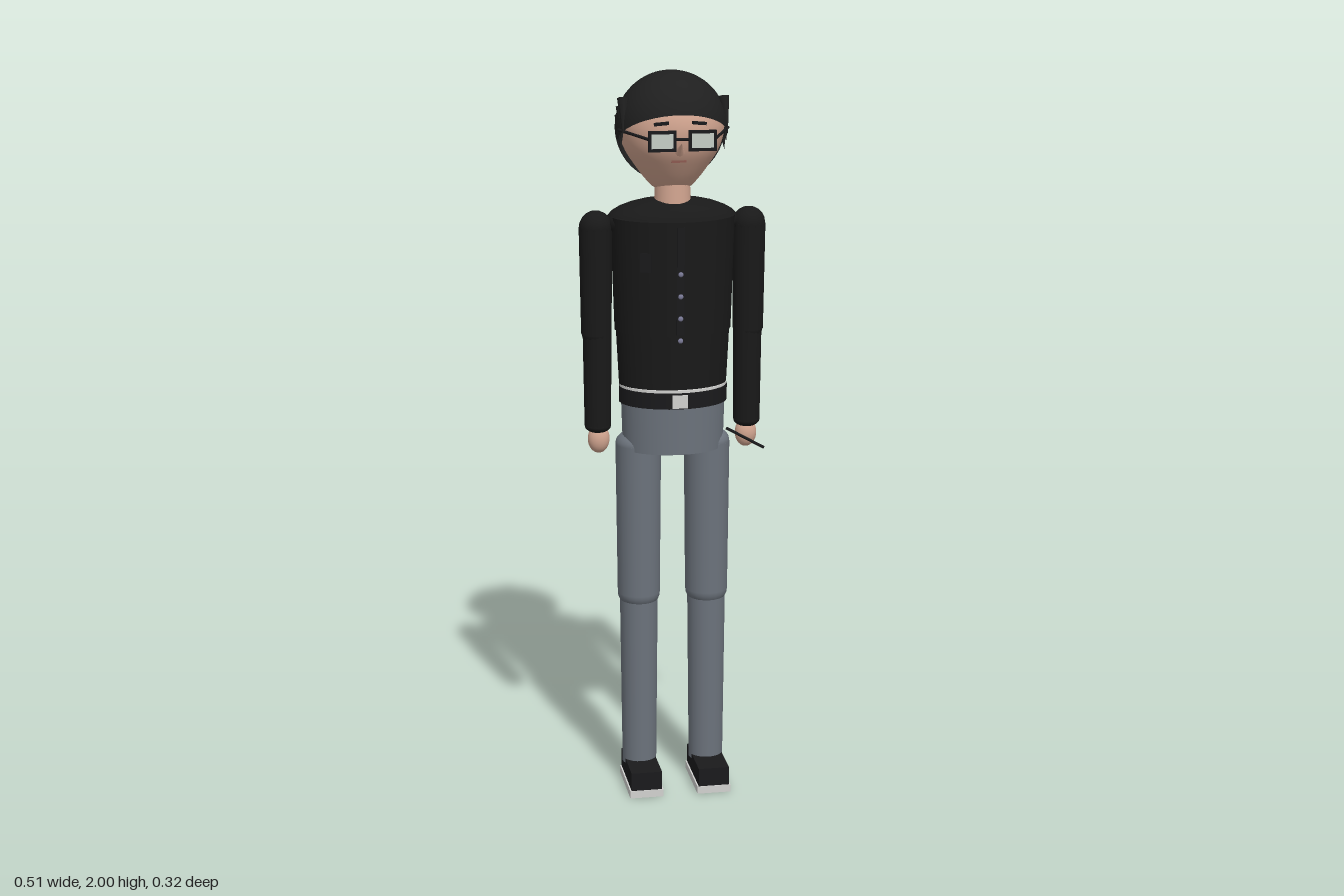
import * as THREE from 'three';

const mat = (name, color, side = THREE.FrontSide) => {
  const m = new THREE.MeshStandardMaterial({ color, side });
  m.name = name;
  return m;
};

export function createModel() {
  const M = {
    skin: mat('skin', 0xd2a590),
    hair: mat('hair black', 0x1f1f1f, THREE.DoubleSide),
    jacket: mat('jacket black', 0x191919),
    trousers: mat('trouser grey', 0x6c737c),
    black: mat('trim black', 0x1a1a1c),
    light: mat('light grey', 0xd2d2d0),
    lens: mat('lens', 0xc6cec6),
    button: mat('button', 0x7a7a96),
    lip: mat('lip', 0x8c5a50),
  };
  const root = new THREE.Group();
  root.name = 'standingMan';

  const add = (name, geo, material, x = 0, y = 0, z = 0, parent = root) => {
    const mesh = new THREE.Mesh(geo, material);
    mesh.name = name;
    mesh.position.set(x, y, z);
    parent.add(mesh);
    return mesh;
  };
  const box = (name, m, w, h, d, x, y, z, parent) =>
    add(name, new THREE.BoxGeometry(w, h, d), m, x, y, z, parent);
  const ball = (name, m, rx, ry, rz, x, y, z, parent) =>
    add(name, new THREE.SphereGeometry(1, 20, 14).scale(rx, ry, rz), m, x, y, z, parent);
  // Tapered elliptical tube standing between two heights
  const oval = (name, m, y0, y1, rx0, rx1, ratio, x, z, parent, sides = 32) =>
    add(name, new THREE.CylinderGeometry(rx1, rx0, y1 - y0, sides).scale(1, 1, ratio), m, x, (y0 + y1) / 2, z, parent);
  // Straight thin rod between two points
  const rod = (name, m, a, b, r, parent) => {
    const p = new THREE.Vector3(...a), q = new THREE.Vector3(...b);
    const mesh = add(name, new THREE.CylinderGeometry(r, r, p.distanceTo(q), 8), m, 0, 0, 0, parent);
    mesh.position.copy(p).lerp(q, 0.5);
    mesh.quaternion.setFromUnitVectors(new THREE.Vector3(0, 1, 0), q.sub(p).normalize());
    return mesh;
  };
  const group = (name) => {
    const g = new THREE.Group();
    g.name = name;
    root.add(g);
    return g;
  };

  // Head, tapering to the chin
  const head = group('head');
  const face = [[0, 1.685], [0.045, 1.69], [0.072, 1.715], [0.102, 1.755], [0.127, 1.795],
    [0.139, 1.835], [0.14, 1.87], [0.128, 1.91], [0.09, 1.96], [0, 1.98]];
  const curve = new THREE.SplineCurve(face.map(([r, y]) => new THREE.Vector2(r, y)));
  const pts = curve.getPoints(28).map((p) => new THREE.Vector2(Math.max(0, p.x), p.y));
  add('face', new THREE.LatheGeometry(pts, 36), M.skin, 0, 0, -0.012, head);
  oval('neck', M.skin, 1.63, 1.71, 0.05, 0.047, 1, 0, 0.004, head, 24);

  // Hair: a crown cap tipped backwards and a cap over the back of the head
  const cap = (name, angle, tilt) => {
    const g = new THREE.SphereGeometry(0.15, 40, 20, 0, Math.PI * 2, 0, angle);
    add(name, g, M.hair, 0, 1.85, -0.015, head).rotation.x = tilt;
  };
  cap('hairCrown', 1.78, -0.54);
  cap('hairBack', 1.47, -Math.PI / 2);

  // Nose and mouth
  const nose = add('nose', new THREE.ConeGeometry(0.013, 0.045, 10), M.skin, 0, 1.815, 0.132, head);
  nose.rotation.x = 0.9;
  box('mouth', M.lip, 0.04, 0.006, 0.008, 0, 1.775, 0.102, head);

  // Glasses bridge
  rod('glassesBridge', M.black, [-0.02, 1.84, 0.156], [0.02, 1.84, 0.156], 0.004, head);

  // Rectangular frame with an opening
  const frame = new THREE.Shape([[-0.037, -0.027], [0.037, -0.027], [0.037, 0.027], [-0.037, 0.027]]
    .map((p) => new THREE.Vector2(...p)));
  frame.holes.push(new THREE.Path([[-0.029, -0.019], [-0.029, 0.019], [0.029, 0.019], [0.029, -0.019]]
    .map((p) => new THREE.Vector2(...p))));
  const frameGeo = new THREE.ExtrudeGeometry(frame, { depth: 0.008, bevelEnabled: false });

  for (const s of [-1, 1]) {
    const side = s > 0 ? 'left' : 'right';
    // Eyes, brows, glasses and side tufts
    ball(side + 'Eye', M.light, 0.022, 0.013, 0.01, s * 0.05, 1.84, 0.122, head);
    ball(side + 'Pupil', M.black, 0.008, 0.009, 0.006, s * 0.05, 1.84, 0.131, head);
    const brow = box(side + 'Brow', M.black, 0.038, 0.008, 0.012, s * 0.05, 1.877, 0.124, head);
    brow.rotation.set(0, s * 0.35, -s * 0.12);
    add(side + 'GlassesFrame', frameGeo, M.black, s * 0.053, 1.836, 0.152, head);
    box(side + 'Lens', M.lens, 0.06, 0.04, 0.004, s * 0.053, 1.836, 0.156, head);
    rod(side + 'Temple', M.black, [s * 0.089, 1.842, 0.155], [s * 0.147, 1.85, 0.02], 0.004, head);
    for (let i = 0; i < 3; i++) {
      const tuft = add(side + 'HairTuft', new THREE.ConeGeometry(0.016, 0.1, 8), M.hair,
        s * 0.137, 1.885 - i * 0.025, 0.035 - i * 0.022, head);
      tuft.rotation.set(Math.PI - 0.35, 0, -s * 0.06);
    }

    // Arm
    const arm = group(side + 'Arm');
    const ax = s * 0.208, z = 0.005;
    add('shoulder', new THREE.SphereGeometry(0.045, 14, 10), M.jacket, ax, 1.59, z, arm);
    oval('upperArm', M.jacket, 1.3, 1.59, 0.041, 0.045, 1, ax, z, arm, 14);
    ball('elbow', M.jacket, 0.04, 0.04, 0.04, ax, 1.305, z, arm);
    oval('forearm', M.jacket, 1.045, 1.305, 0.036, 0.039, 1, ax - s * 0.002, z, arm, 14);
    ball('cuff', M.jacket, 0.036, 0.02, 0.036, ax - s * 0.002, 1.045, z, arm);
    ball('hand', M.skin, 0.03, 0.04, 0.026, s * 0.204, 1.008, z, arm);

    // Leg
    const leg = group(side + 'Leg');
    const lx = s * 0.095;
    ball('hip', M.trousers, 0.063, 0.04, 0.064, lx, 0.99, z, leg);
    oval('thigh', M.trousers, 0.565, 0.99, 0.059, 0.063, 1.02, lx, z, leg, 20);
    ball('knee', M.trousers, 0.059, 0.05, 0.06, lx, 0.565, z, leg);
    oval('shin', M.trousers, 0.06, 0.55, 0.048, 0.053, 1, lx, z, leg, 20);

    // Shoe
    box('shoe', M.black, 0.086, 0.052, 0.185, lx, 0.047, 0.043, leg);
    box('sole', M.light, 0.094, 0.021, 0.19, lx, 0.0105, 0.043, leg);
  }

  // Jacket
  const torso = group('torso');
  ball('shoulderYoke', M.jacket, 0.182, 0.066, 0.108, 0, 1.6, -0.008, torso);
  oval('chest', M.jacket, 1.31, 1.618, 0.158, 0.168, 0.775, 0, 0.005, torso);
  oval('waist', M.jacket, 1.16, 1.315, 0.147, 0.155, 0.735, 0, 0.005, torso);
  oval('hem', M.light, 1.154, 1.161, 0.1465, 0.1465, 0.765, 0, 0.008, torso);
  box('pocket', M.black, 0.03, 0.05, 0.008, -0.09, 1.51, 0.112, torso).rotation.y = -0.42;
  box('placket', M.black, 0.02, 0.29, 0.008, 0, 1.46, 0.13, torso).rotation.x = 0.025;
  for (let i = 0; i < 4; i++)
    ball('button', M.button, 0.007, 0.007, 0.004, 0, 1.48 - i * 0.06, 0.134 - i * 0.001, torso);

  // Belt and trouser top
  oval('belt', M.black, 1.111, 1.154, 0.148, 0.148, 0.785, 0, 0.01, torso);
  box('buckle', M.light, 0.042, 0.036, 0.01, 0, 1.132, 0.124, torso);
  oval('pelvis', M.trousers, 0.98, 1.112, 0.138, 0.142, 0.74, 0, 0.009, torso);

  // Pen held in the left hand
  rod('pen', M.black, [0.145, 1.028, 0.032], [0.25, 0.968, 0.032], 0.004);
  return root;
}
